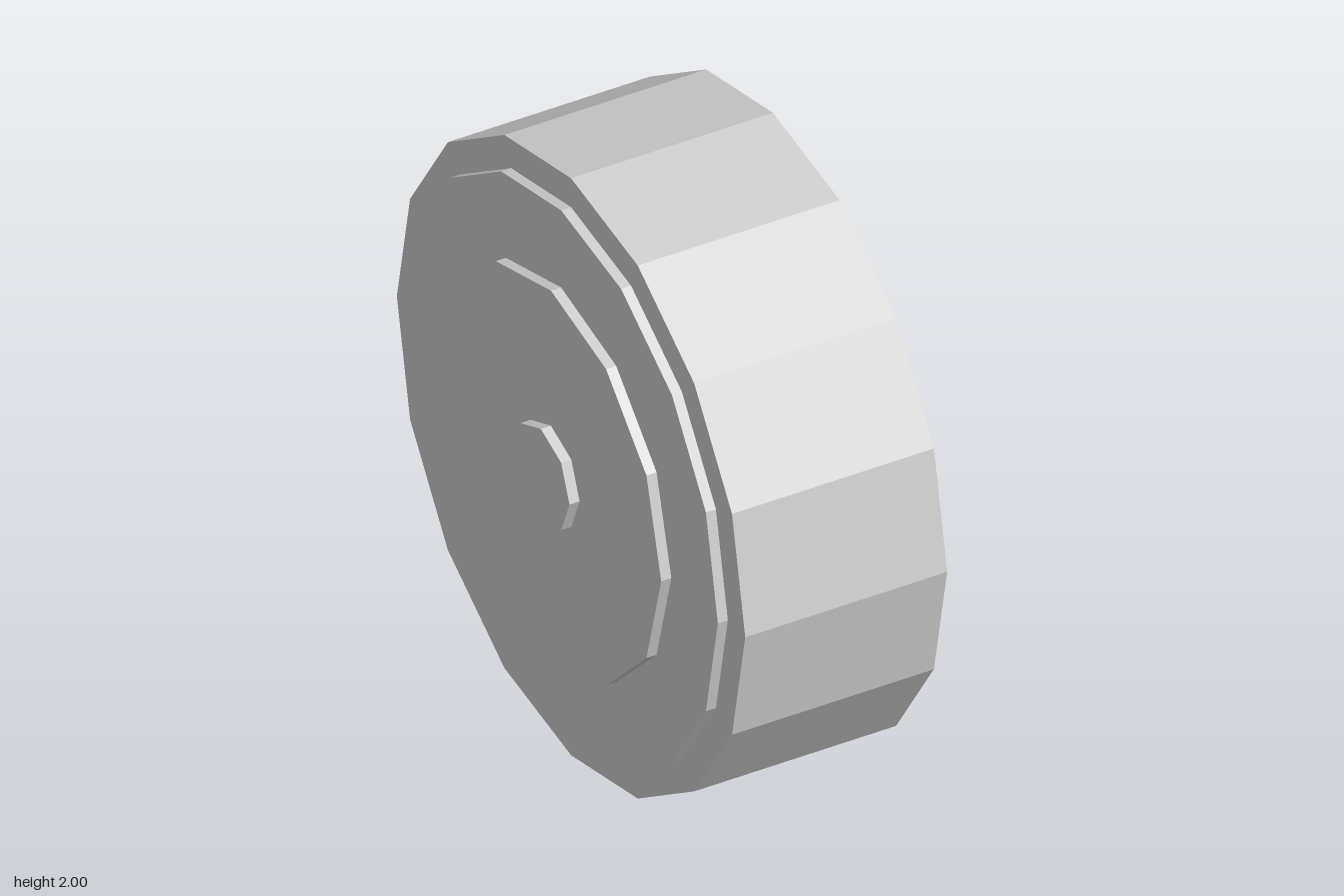
import * as THREE from 'three';

export function createModel() {
  const group = new THREE.Group();
  group.name = 'wheel';
  const grey = new THREE.MeshStandardMaterial({ color: 0xcccccc, flatShading: true });
  grey.name = 'light grey';

  // Concentric drums along the x axis, each narrower and wider-set than the last
  const drums = [
    // name, radius, width, sides
    ['tyre', 1, 0.667, 16],
    ['outerRim', 0.9, 0.733, 16],
    ['innerDisc', 0.633, 0.8, 12],
    ['hub', 0.165, 0.867, 8],
  ];
  for (const [name, radius, width, sides] of drums) {
    const geometry = new THREE.CylinderGeometry(radius, radius, width, sides);
    geometry.rotateZ(Math.PI / 2);
    const mesh = new THREE.Mesh(geometry, grey);
    mesh.name = name;
    mesh.position.y = 1;
    group.add(mesh);
  }
  return group;
}
